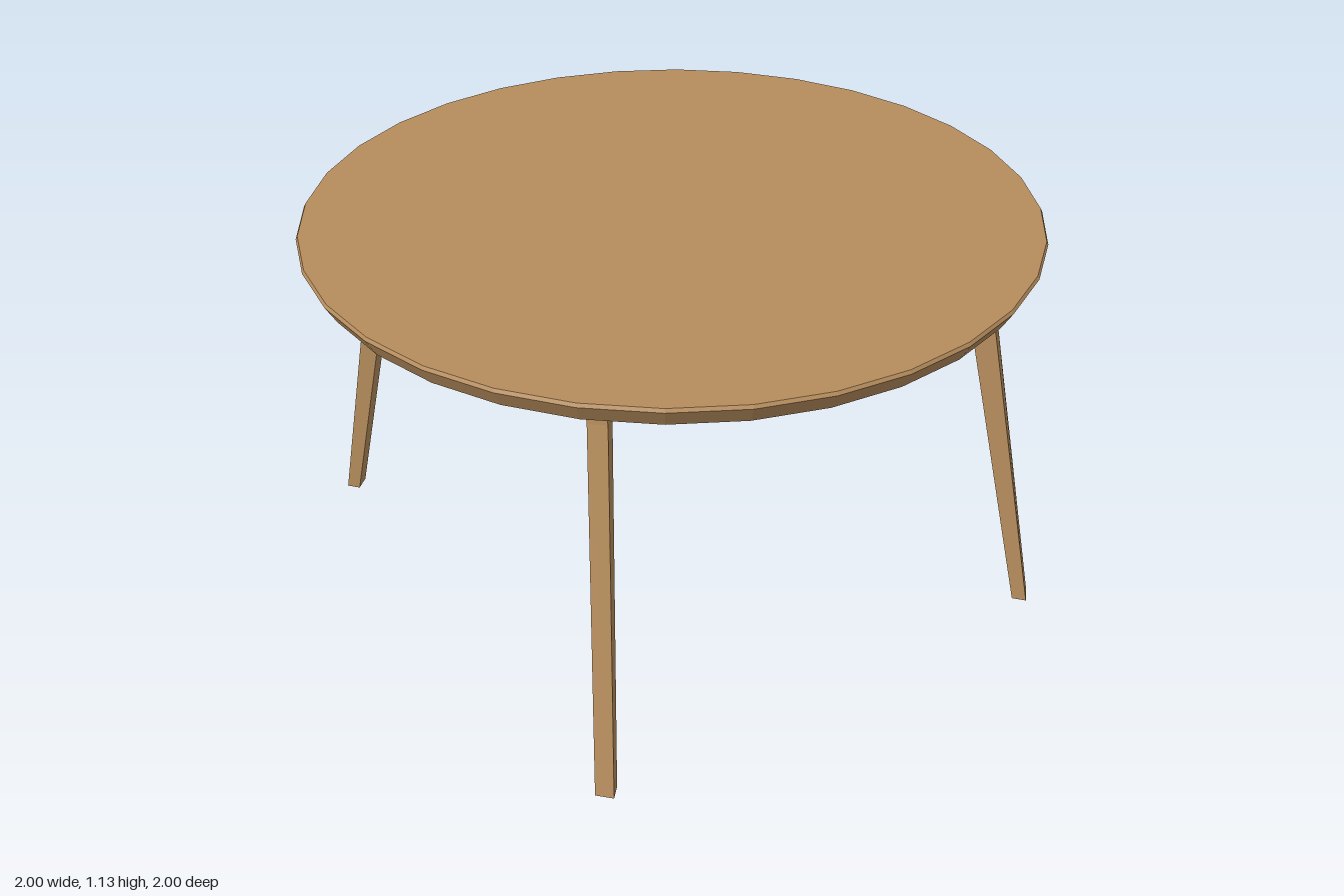
import * as THREE from 'three';

const wood = new THREE.MeshStandardMaterial({ color: 0xb68d5d, flatShading: true });
wood.name = 'wood';

// Leg cross-sections for the +x +z corner: height, then four [x, z] corners
const legSections = [
  { y: 0, ring: [[0.703, 0.82], [0.738, 0.785], [0.711, 0.755], [0.676, 0.79]] },
  { y: 0.99, ring: [[0.588, 0.64], [0.626, 0.608], [0.583, 0.556], [0.545, 0.588]] },
  { y: 1.075, ring: [[0.588, 0.626], [0.626, 0.594], [0.583, 0.542], [0.545, 0.574]] },
];

// Tapered, splayed leg, mirrored to a corner by the signs sx and sz
function legGeometry(sx, sz) {
  const positions = [];
  const index = [];
  const flip = sx * sz < 0;
  const quad = (a, b, c, d) => {
    if (flip) index.push(a, c, b, a, d, c);
    else index.push(a, b, c, a, c, d);
  };
  for (const { y, ring } of legSections) {
    for (const [x, z] of ring) positions.push(x * sx, y, z * sz);
  }
  const last = (legSections.length - 1) * 4;
  for (let s = 0; s < last; s += 4) {
    for (let i = 0; i < 4; i++) {
      const j = (i + 1) % 4;
      quad(s + i, s + j, s + 4 + j, s + 4 + i);
    }
  }
  quad(3, 2, 1, 0);
  quad(last, last + 1, last + 2, last + 3);
  const geometry = new THREE.BufferGeometry();
  geometry.setAttribute('position', new THREE.Float32BufferAttribute(positions, 3));
  geometry.setIndex(index);
  const flat = geometry.toNonIndexed();
  flat.computeVertexNormals();
  return flat;
}

export function createModel() {
  const table = new THREE.Group();
  table.name = 'roundTable';
  const add = (name, geometry) => {
    const mesh = new THREE.Mesh(geometry, wood);
    mesh.name = name;
    table.add(mesh);
    return mesh;
  };

  // Round top with an undercut rim and a fine upper bevel
  const profile = [[0, 1.07], [0.972, 1.07], [1, 1.119], [0.995, 1.128], [0, 1.128]];
  add('tableTop', new THREE.LatheGeometry(profile.map(([r, y]) => new THREE.Vector2(r, y)), 32));

  // Four legs
  for (const [sx, side] of [[1, 'Left'], [-1, 'Right']]) {
    for (const [sz, end] of [[1, 'front'], [-1, 'back']]) {
      add(`${end}${side}Leg`, legGeometry(sx, sz));
    }
  }

  // Apron rails between the legs
  const railY = 1.0325;
  for (const [s, end, side] of [[1, 'front', 'left'], [-1, 'back', 'right']]) {
    add(`${end}Apron`, new THREE.BoxGeometry(1.14, 0.085, 0.04)).position.set(0, railY, s * 0.58);
    add(`${side}Apron`, new THREE.BoxGeometry(0.04, 0.085, 1.14)).position.set(s * 0.58, railY, 0);
  }
  return table;
}
